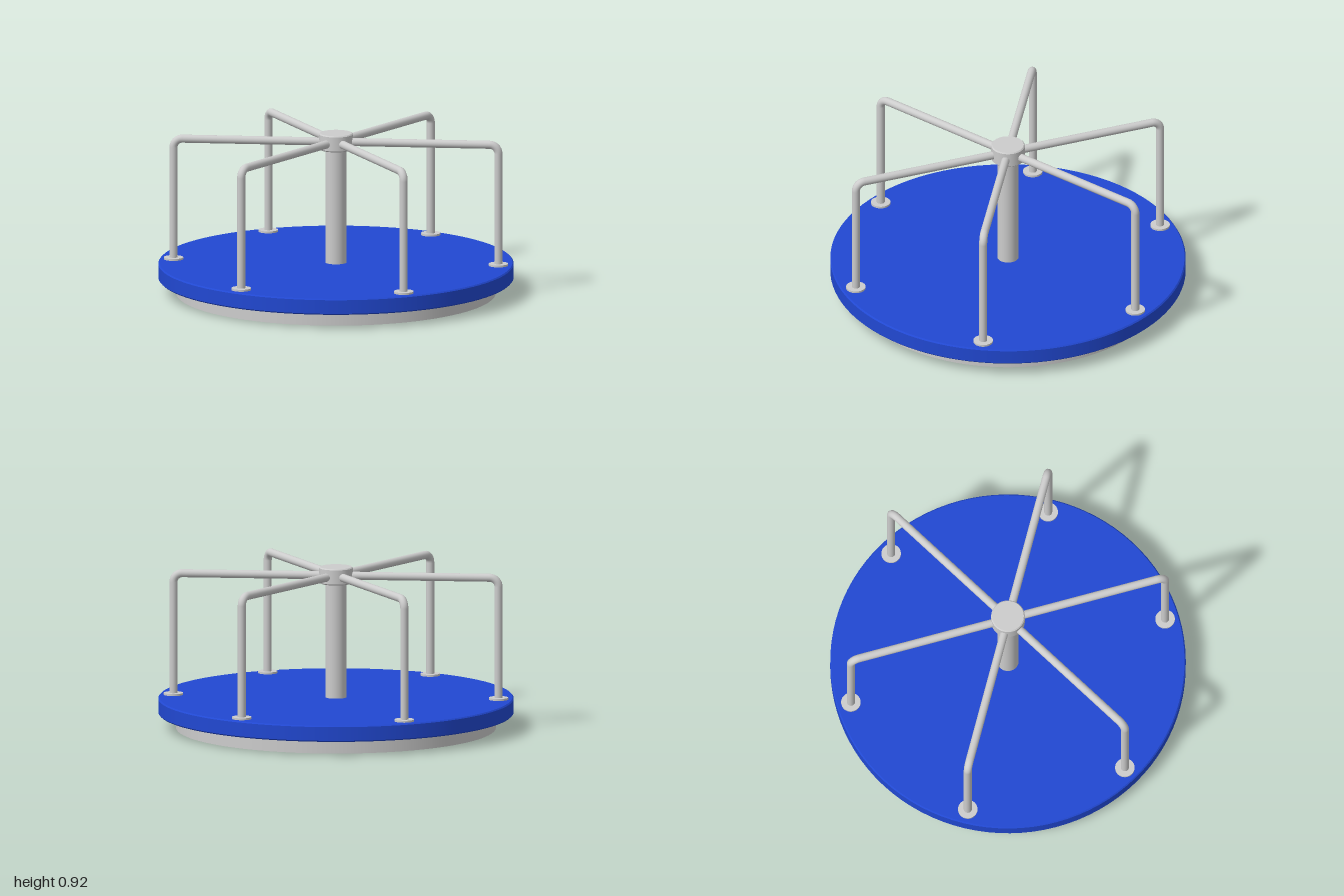
import * as THREE from 'three';

export function createModel() {
  const blue = new THREE.MeshStandardMaterial({ color: 0x2148d2 });
  blue.name = 'blue paint';
  const steel = new THREE.MeshStandardMaterial({ color: 0xcccccc });
  steel.name = 'grey steel';

  const model = new THREE.Group();
  model.name = 'merryGoRound';

  const add = (parent, name, geometry, material, x = 0, y = 0) => {
    const mesh = new THREE.Mesh(geometry, material);
    mesh.name = name;
    mesh.position.set(x, y, 0);
    parent.add(mesh);
    return mesh;
  };

  // Solid disc with small bevelled rims; doubled points keep the edges crisp
  const disc = (radius, bottom, top, bevel, segments) => {
    const corners = [
      [radius - bevel, bottom], [radius, bottom + bevel],
      [radius, top - bevel], [radius - bevel, top],
    ];
    const profile = [[0, bottom], ...corners.flatMap((p) => [p, p]), [0, top]];
    // Each span is turned separately so its normals stay independent
    const group = [];
    for (let i = 0; i < profile.length; i += 2) {
      const pts = [profile[i], profile[i + 1]].map(([r, y]) => new THREE.Vector2(r, y));
      group.push(new THREE.LatheGeometry(pts, segments));
    }
    return group;
  };
  const addDisc = (parent, name, material, ...size) => {
    const part = new THREE.Group();
    part.name = name;
    disc(...size).forEach((g) => add(part, name + 'Face', g, material));
    parent.add(part);
    return part;
  };

  // Base, deck, central post and hub
  add(model, 'base', new THREE.CylinderGeometry(0.9, 0.9, 0.085, 96), steel, 0, 0.0425);
  addDisc(model, 'deck', blue, 1, 0.082, 0.174, 0.007, 96);
  add(model, 'centrePost', new THREE.CylinderGeometry(0.06, 0.06, 0.67, 40), steel, 0, 0.5);
  addDisc(model, 'hub', steel, 0.095, 0.824, 0.917, 0.006, 48);

  // Six bent handrails, each with a foot flange
  const reach = 0.918, tube = 0.023, bend = 0.05, railY = 0.867, deckY = 0.174;
  const armLength = reach - bend - 0.05;
  const legLength = railY - bend - deckY;
  for (let i = 0; i < 6; i++) {
    const rail = new THREE.Group();
    rail.name = 'handrail' + (i + 1);
    rail.rotation.y = THREE.MathUtils.degToRad(15 + 60 * i);
    const arm = add(rail, 'railArm', new THREE.CylinderGeometry(tube, tube, armLength, 20, 1, true),
      steel, 0.05 + armLength / 2, railY);
    arm.rotation.z = Math.PI / 2;
    add(rail, 'railBend', new THREE.TorusGeometry(bend, tube, 20, 10, Math.PI / 2),
      steel, reach - bend, railY - bend);
    add(rail, 'railLeg', new THREE.CylinderGeometry(tube, tube, legLength, 20, 1, true),
      steel, reach, deckY + legLength / 2);
    add(rail, 'footFlange', new THREE.CylinderGeometry(0.055, 0.055, 0.012, 32), steel, reach, deckY + 0.005);
    model.add(rail);
  }
  return model;
}
